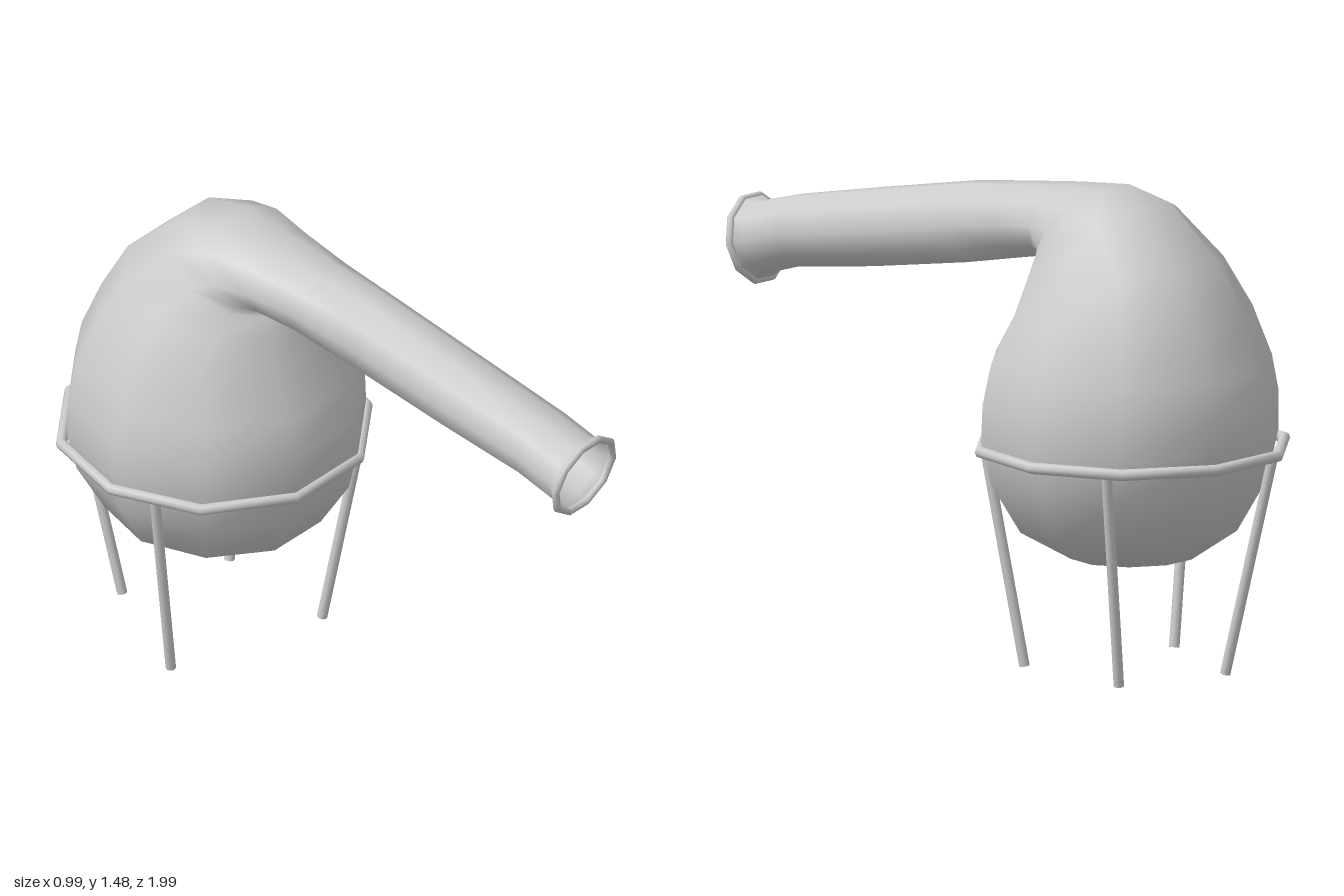
import * as THREE from 'three';

const SIDES = 10;
const CENTRE_Z = -0.525;

// Each section: [outer z, outer y, inner z, inner y, half width].
// Level rings up the bulb, fanning round the elbow, then upright along the neck.
const SECTIONS = [
  [-0.52, 0.33, -0.52, 0.33, 0],
  [-0.71, 0.35, -0.34, 0.345, 0.19],
  [-0.85, 0.45, -0.19, 0.43, 0.345],
  [-0.935, 0.6, -0.1, 0.58, 0.43],
  [-0.96, 0.72, -0.07, 0.72, 0.462],
  [-0.96, 0.84, -0.075, 0.83, 0.46],
  [-0.94, 0.95, -0.1, 0.95, 0.438],
  [-0.875, 1.11, -0.175, 1.09, 0.38],
  [-0.79, 1.27, -0.205, 1.2, 0.305],
  [-0.61, 1.44, -0.23, 1.24, 0.235],
  [-0.46, 1.478, -0.245, 1.252, 0.205],
  [-0.28, 1.465, -0.225, 1.245, 0.165],
  [-0.09, 1.445, -0.11, 1.222, 0.137],
  [0.12, 1.42, 0.1, 1.18, 0.124],
  [0.5, 1.35, 0.47, 1.12, 0.12],
  [0.81, 1.29, 0.77, 1.08, 0.117],
  [0.945, 1.255, 0.905, 1.04, 0.115],
  [0.985, 1.268, 0.935, 1.012, 0.135],
];

// Smooth skin through the sections
function loftVessel() {
  const positions = [];
  const index = [];
  const flat = Math.sin((2 * Math.PI) / 5); // sides facing front and back are flats
  SECTIONS.forEach(([oz, oy, iz, iy, halfWidth], row) => {
    for (let j = 0; j < SIDES; j++) {
      const t = (j / SIDES) * Math.PI * 2;
      const s = Math.sin(t) / flat / 2;
      positions.push(
        halfWidth * Math.cos(t),
        (oy + iy) / 2 + (iy - oy) * s,
        (oz + iz) / 2 + (iz - oz) * s
      );
      if (row === SECTIONS.length - 1) continue;
      const a = row * SIDES + j;
      const b = row * SIDES + ((j + 1) % SIDES);
      if (row > 0) index.push(a, a + SIDES, b);
      index.push(b, a + SIDES, b + SIDES);
    }
  });
  const geometry = new THREE.BufferGeometry();
  geometry.setAttribute('position', new THREE.Float32BufferAttribute(positions, 3));
  geometry.setIndex(index);
  geometry.computeVertexNormals();
  return geometry;
}

export function createModel() {
  const group = new THREE.Group();
  const material = new THREE.MeshStandardMaterial({ color: 0xcccccc });
  const openMaterial = new THREE.MeshStandardMaterial({ color: 0xcccccc, side: THREE.DoubleSide });

  const add = (name, geometry, mat = material) => {
    const mesh = new THREE.Mesh(geometry, mat);
    mesh.name = name;
    group.add(mesh);
    return mesh;
  };

  // Bulb and bent neck in one skin
  add('vessel', loftVessel(), openMaterial);

  // Rolled rim round the mouth
  const rim = add('mouthRim', new THREE.TorusGeometry(0.131, 0.012, 8, SIDES));
  rim.position.set(0, 1.14, 0.96);
  rim.rotation.x = 0.2;

  // Stand: ring round the bulb
  const ring = add('standRing', new THREE.TorusGeometry(0.475, 0.018, 8, SIDES));
  ring.position.set(0, 0.69, CENTRE_Z);
  ring.rotation.x = Math.PI / 2;

  // Stand: four splayed legs, given by foot x, z and top x, z
  const legs = [
    [0.205, -0.27, 0.27, -0.165],
    [0.26, -0.69, 0.39, -0.75],
    [-0.31, -0.43, -0.425, -0.395],
    [-0.092, -0.815, -0.135, -0.968],
  ];
  legs.forEach(([fx, fz, tx, tz], i) => {
    const foot = new THREE.Vector3(fx, 0.005, fz);
    const top = new THREE.Vector3(tx, 0.69, tz);
    const axis = top.clone().sub(foot);
    const leg = add(`standLeg${i + 1}`, new THREE.CylinderGeometry(0.016, 0.016, axis.length(), 10));
    leg.position.copy(foot).add(top).multiplyScalar(0.5);
    leg.quaternion.setFromUnitVectors(new THREE.Vector3(0, 1, 0), axis.normalize());
  });

  return group;
}
